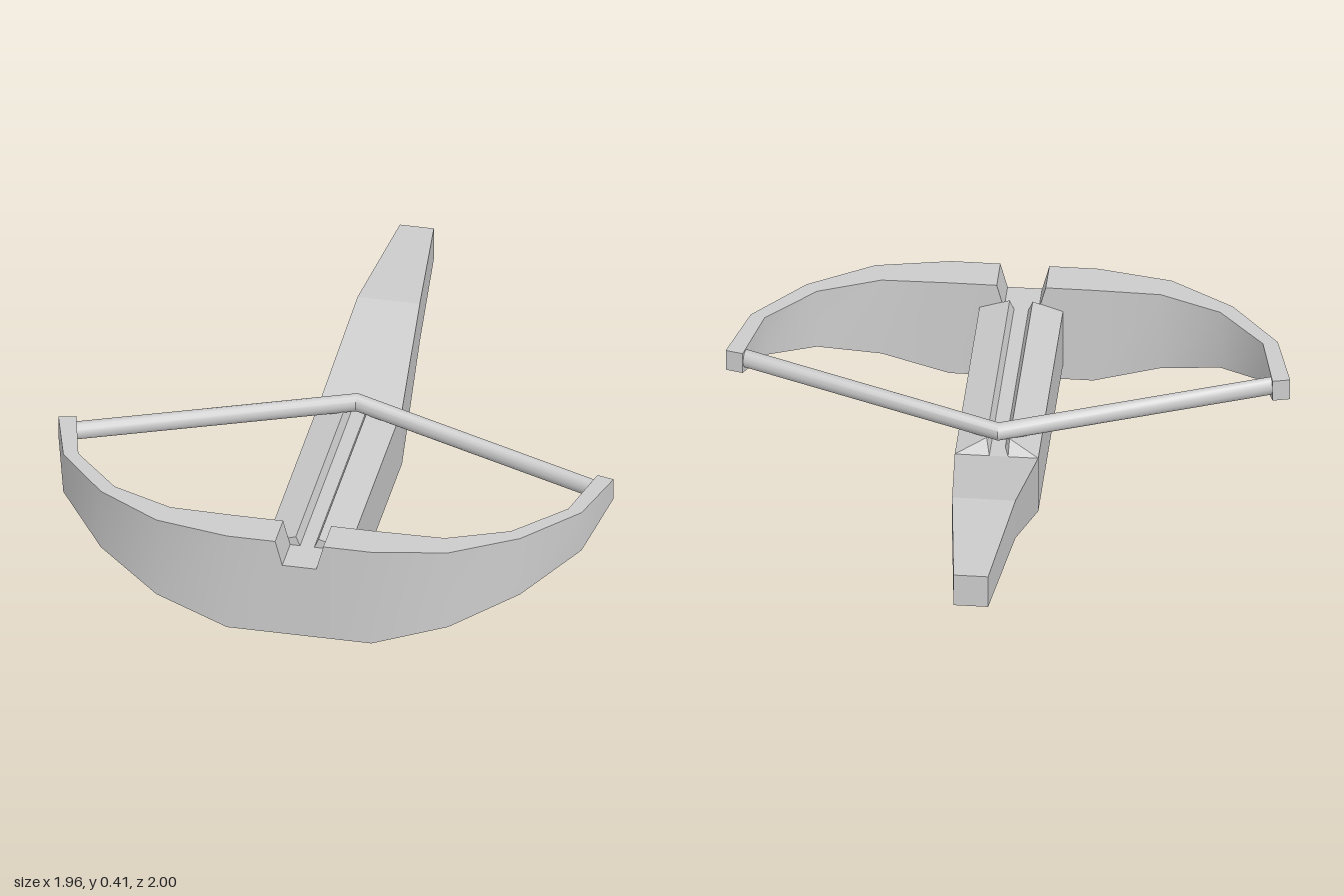
import * as THREE from 'three';
import { toCreasedNormals } from 'three/addons/utils/BufferGeometryUtils.js';

// Skins a row of equal-length rings of [x, y, z] points and caps both ends.
// Each ring runs counter-clockwise as seen from the starting end.
function loft(rings, crease) {
  const pos = [];
  const n = rings[0].length;
  const tri = (a, b, c) => {
    const [p, q, r] = [a, b, c].map((v) => new THREE.Vector3(...v));
    if (q.clone().sub(p).cross(r.clone().sub(p)).length() > 1e-9) pos.push(...a, ...b, ...c);
  };
  for (let i = 0; i < rings.length - 1; i++) {
    for (let j = 0; j < n; j++) {
      const k = (j + 1) % n;
      const a = rings[i][j], b = rings[i][k], c = rings[i + 1][k], d = rings[i + 1][j];
      tri(a, d, c);
      tri(a, c, b);
    }
  }
  const first = rings[0], last = rings[rings.length - 1];
  for (let j = 1; j < n - 1; j++) {
    tri(first[0], first[j], first[j + 1]);
    tri(last[0], last[j + 1], last[j]);
  }
  const geo = new THREE.BufferGeometry();
  geo.setAttribute('position', new THREE.Float32BufferAttribute(pos, 3));
  geo.computeVertexNormals();
  return crease ? toCreasedNormals(geo, crease) : geo;
}

// Stock section: flat bottom, straight sides, raised rail edges and a groove.
function stockRing(w, bottom, top, z, rail = top, railZ = z) {
  return [
    [0, bottom, z], [w, bottom, z], [w, top, z],
    [0.04, rail, railZ], [0.025, top, railZ], [-0.025, top, railZ], [-0.04, rail, railZ],
    [-w, top, z], [-w, bottom, z],
  ];
}

export function createModel() {
  const group = new THREE.Group();
  const add = (name, geo, flatShading = false) => {
    const mesh = new THREE.Mesh(geo, new THREE.MeshStandardMaterial({ color: 0xcccccc, flatShading }));
    mesh.name = name;
    group.add(mesh);
  };

  // Stock with grooved rail, rising to the tapered butt
  add('stock', loft([
    stockRing(0.145, 0.06, 0.28, 0.865, 0.315),
    stockRing(0.145, 0.06, 0.28, -0.05, 0.315, 0.01),
    stockRing(0.145, 0.06, 0.28, -0.05),
    stockRing(0.11, 0.26, 0.415, -0.52),
    stockRing(0.06, 0.29, 0.415, -1),
  ]), true);

  // Bow: [outer x, outer z, inner x, inner z, bottom y, top y], tip to centre notch
  const half = [
    [0.98, 0.375, 0.92, 0.36, 0.295, 0.375],
    [0.915, 0.605, 0.865, 0.59, 0.22, 0.375],
    [0.74, 0.81, 0.7, 0.77, 0.145, 0.375],
    [0.515, 0.95, 0.485, 0.86, 0.07, 0.375],
    [0.255, 1, 0.25, 0.865, 0, 0.375],
    [0.085, 1, 0.085, 0.865, 0, 0.375],
    [0.06, 1, 0.06, 0.865, 0, 0.28],
  ];
  const bowRing = (s) => ([ox, oz, ix, iz, bottom, top]) => [
    [s * ox, bottom, oz], [s * ix, bottom, iz], [s * ix, top, iz], [s * ox, top, oz],
  ];
  add('bow', loft([...half.map(bowRing(1)), ...half.map(bowRing(-1)).reverse()], 0.52));

  // Drawn string, mitred where it bends over the rail
  const stringRing = (x, z) => Array.from({ length: 12 }, (_, i) => {
    const a = (i / 12) * Math.PI * 2;
    return [x, 0.337 + 0.033 * Math.sin(a), z - 0.028 * Math.cos(a)];
  });
  add('string', loft([stringRing(0.925, 0.395), stringRing(0, 0.018), stringRing(-0.925, 0.395)], 0.7));

  return group;
}
